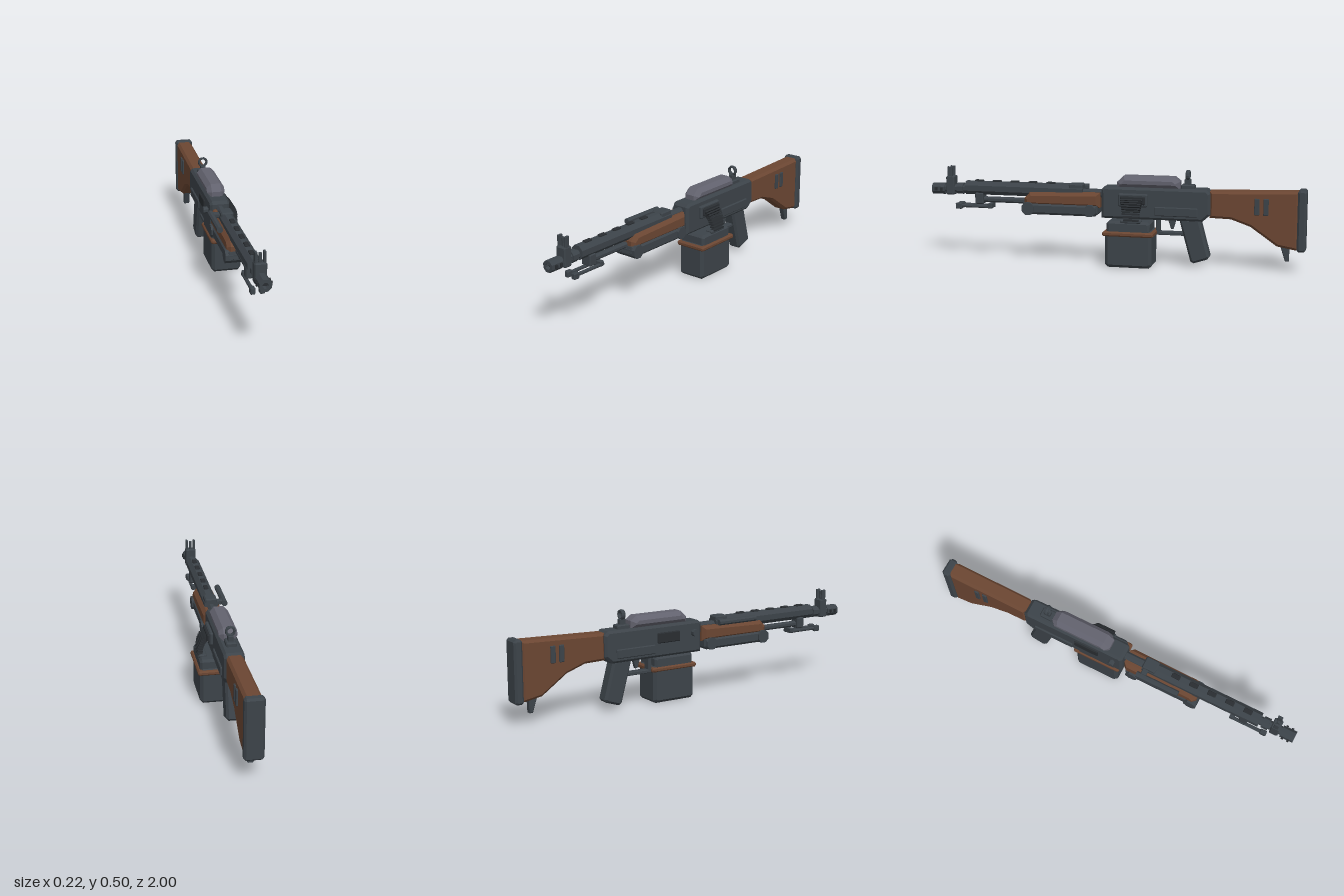
import * as THREE from 'three';

const AX = -0.026; // centre line of the barrel and receiver

export function createModel() {
  const root = new THREE.Group();
  const paint = (name, color) => {
    const m = new THREE.MeshStandardMaterial({ color });
    m.name = name;
    return m;
  };
  const metal = paint('slate metal', 0x3c4349);
  const dark = paint('dark metal', 0x292d31);
  const wood = paint('brown wood', 0x6b4632);
  const cover = paint('grey cover', 0x62626e);

  // Adds a faceted mesh
  function add(name, geo, mat) {
    const g = geo.index ? geo.toNonIndexed() : geo;
    g.computeVertexNormals();
    const mesh = new THREE.Mesh(g, mat);
    mesh.name = name;
    root.add(mesh);
    return mesh;
  }

  // Side profile of [z, y] points, extruded across x with bevelled rims
  function prism(name, pts, x0, x1, b, mat) {
    const shape = new THREE.Shape(pts.map(p => new THREE.Vector2(p[0], p[1])));
    const geo = new THREE.ExtrudeGeometry(shape, {
      depth: x1 - x0 - 2 * b, bevelEnabled: b > 0, bevelSize: b,
      bevelThickness: b, bevelOffset: -b, bevelSegments: 1,
    });
    geo.rotateY(-Math.PI / 2).translate(x1 - b, 0, 0);
    return add(name, geo, mat);
  }

  // Box with all edges chamfered by b
  function box(name, x0, x1, y0, y1, z0, z1, b, mat) {
    const pts = b > 0
      ? [[z0 + b, y0], [z1 - b, y0], [z1, y0 + b], [z1, y1 - b],
        [z1 - b, y1], [z0 + b, y1], [z0, y1 - b], [z0, y0 + b]]
      : [[z0, y0], [z1, y0], [z1, y1], [z0, y1]];
    return prism(name, pts, x0, x1, b, mat);
  }

  // Eight-sided rods along z and along x
  const rod = (r, len, r2 = r) =>
    new THREE.CylinderGeometry(r2, r, len, 8).rotateY(Math.PI / 8);
  const rodZ = (name, x, y, z0, z1, r, mat) =>
    add(name, rod(r, z1 - z0).rotateX(Math.PI / 2).translate(x, y, (z0 + z1) / 2), mat);
  const rodX = (name, x0, x1, y, z, r, mat) =>
    add(name, rod(r, x1 - x0).rotateZ(Math.PI / 2).translate((x0 + x1) / 2, y, z), mat);

  // Barrel, vented jacket and muzzle
  rodZ('barrel', AX, 0.368, 0.03, 0.95, 0.023, metal);
  rodZ('barrelJacket', AX, 0.375, 0.16, 0.81, 0.038, metal);
  rodZ('jacketCollar', AX, 0.368, 0.825, 0.86, 0.031, metal);
  for (let i = 0; i < 5; i++) {
    const z = 0.338 + i * 0.1;
    box('jacketVent', AX - 0.012, AX + 0.012, 0.4, 0.418, z - 0.023, z + 0.023, 0.003, dark);
  }
  const ring = (r, path) => {
    for (let i = 0; i < 8; i++) {
      const a = (i + 0.5) * Math.PI / 4;
      path[i ? 'lineTo' : 'moveTo'](r * Math.cos(a), r * Math.sin(a));
    }
    path.closePath();
    return path;
  };
  const muzzle = ring(0.031, new THREE.Shape());
  muzzle.holes.push(ring(0.015, new THREE.Path()));
  add('muzzle', new THREE.ExtrudeGeometry(muzzle, { depth: 0.072, bevelEnabled: false })
    .translate(AX, 0.364, 0.928), metal);
  rodZ('muzzleBore', AX, 0.364, 0.94, 0.965, 0.016, dark);
  for (const z of [0.945, 0.975]) {
    box('muzzlePort', AX - 0.037, AX + 0.037, 0.355, 0.373, z - 0.006, z + 0.006, 0, dark);
  }

  // Front sight: block, two wings and a post
  box('frontSightBase', AX - 0.029, AX + 0.029, 0.335, 0.435, 0.872, 0.918, 0.005, metal);
  for (const s of [-1, 1]) {
    const x = AX + s * 0.021;
    box('frontSightWing', x - 0.006, x + 0.006, 0.42, 0.487, 0.883, 0.909, 0.002, metal);
  }
  box('frontSightPost', AX - 0.007, AX + 0.007, 0.42, 0.48, 0.889, 0.903, 0.002, metal);

  // Gas tube and folded bipod
  rodZ('gasTube', AX, 0.313, 0.4, 0.75, 0.016, metal);
  box('gasBlock', AX - 0.03, AX + 0.03, 0.29, 0.35, 0.71, 0.755, 0.005, metal);
  box('bipodHinge', AX - 0.03, AX + 0.03, 0.268, 0.295, 0.66, 0.685, 0.003, metal);
  for (const s of [-1, 1]) {
    const x = AX + s * 0.022;
    rodZ('bipodLeg', x, 0.277, 0.66, 0.85, 0.009, metal);
    box('bipodFoot', x - 0.012, x + 0.012, 0.26, 0.292, 0.83, 0.865, 0.004, metal);
  }

  // Handguard: wooden shell over a metal trough with round end bosses
  prism('handguardWood', [[0.065, 0.295], [0.475, 0.295], [0.475, 0.335], [0.445, 0.366],
    [0.1, 0.375], [0.065, 0.375]], AX - 0.054, AX + 0.054, 0.018, wood);
  prism('handguardTrough', [[0.09, 0.25], [0.45, 0.25], [0.485, 0.275], [0.48, 0.31],
    [0.075, 0.31], [0.075, 0.265]], AX - 0.057, AX + 0.057, 0.012, metal);
  rodX('handguardFrontBoss', AX - 0.065, AX + 0.065, 0.281, 0.45, 0.036, metal);
  rodX('handguardRearBoss', AX - 0.065, AX + 0.065, 0.281, 0.115, 0.033, metal);

  // Carrying handle folded to the right side
  box('handleClamp', AX - 0.032, AX + 0.032, 0.365, 0.416, 0.16, 0.235, 0.006, metal);
  box('handleArm', -0.105, AX, 0.378, 0.402, 0.168, 0.198, 0.004, metal);
  rodZ('carryHandle', -0.097, 0.39, 0.15, 0.385, 0.0155, metal);

  // Receiver with side panels and charging handle
  prism('receiver', [[0.055, 0.245], [0.055, 0.395], [0.04, 0.41], [-0.495, 0.41],
    [-0.515, 0.39], [-0.515, 0.28], [-0.475, 0.245]].reverse(), AX - 0.051, AX + 0.051, 0.012, metal);
  for (const s of [-1, 1]) {
    const x = AX + s * 0.052;
    box('sidePanel', x - 0.007, x + 0.007, 0.268, 0.315, -0.452, -0.228, 0.004, metal);
  }
  box('ejectionPort', -0.084, -0.07, 0.318, 0.372, -0.215, -0.08, 0.004, dark);
  rodX('chargingHandleStem', -0.09, -0.06, 0.352, 0.003, 0.01, metal);
  rodX('chargingHandleKnob', -0.105, -0.082, 0.352, 0.003, 0.018, metal);

  // Top cover with sloping sides
  prism('topCover', [[-0.355, 0.405], [-0.025, 0.405], [-0.025, 0.435], [-0.06, 0.468],
    [-0.325, 0.468], [-0.355, 0.445]], AX - 0.047, AX + 0.047, 0.022, cover);

  // Rear sight
  box('rearSightBase', AX - 0.026, AX + 0.026, 0.4, 0.43, -0.43, -0.36, 0.005, metal);
  box('rearSightStem', AX - 0.013, AX + 0.013, 0.425, 0.458, -0.41, -0.375, 0.003, metal);
  add('rearSightRing', new THREE.TorusGeometry(0.021, 0.0065, 6, 14).scale(1, 1, 1.8)
    .translate(AX, 0.478, -0.393), metal);

  // Feed tray and hanging belt
  box('feedTray', 0.02, 0.042, 0.312, 0.38, -0.193, -0.038, 0.006, metal);
  box('feedOpening', 0.03, 0.053, 0.325, 0.368, -0.182, -0.05, 0.005, dark);
  const belt = new THREE.QuadraticBezierCurve3(
    new THREE.Vector3(0.05, 0.342, -0.112), new THREE.Vector3(0.084, 0.318, -0.112),
    new THREE.Vector3(0.085, 0.25, -0.118));
  for (let i = 0; i < 9; i++) {
    const t = i / 8;
    const tangent = belt.getTangent(t);
    const link = add('beltLink', new THREE.BoxGeometry(0.026, 0.0085, 0.115 - 0.035 * t), dark);
    link.position.copy(belt.getPoint(t));
    link.rotation.z = Math.atan2(tangent.y, tangent.x) + Math.PI / 2;
  }

  // Ammunition box with lid and wooden band
  box('ammoBox', -0.062, 0.095, 0, 0.2, -0.225, 0.02, 0.015, metal);
  box('ammoBoxLid', -0.06, 0.094, 0.175, 0.243, -0.215, 0.012, 0.012, metal);
  box('ammoBoxBand', -0.067, 0.107, 0.165, 0.19, -0.236, 0.031, 0.007, wood);
  box('beltChute', 0.052, 0.094, 0.235, 0.252, -0.17, -0.06, 0.004, metal);

  // Trigger and guard
  prism('trigger', [[-0.29, 0.25], [-0.335, 0.25], [-0.32, 0.195], [-0.308, 0.195]].reverse(),
    AX - 0.01, AX + 0.01, 0.002, metal);
  box('triggerGuardBar', AX - 0.02, AX + 0.02, 0.163, 0.181, -0.38, -0.225, 0.003, metal);
  box('triggerGuardFront', AX - 0.02, AX + 0.02, 0.17, 0.25, -0.25, -0.23, 0.003, metal);

  // Pistol grip
  prism('pistolGrip', [[-0.352, 0.255], [-0.46, 0.255], [-0.512, 0.06], [-0.5, 0.045],
    [-0.43, 0.022], [-0.413, 0.032]], AX - 0.037, AX + 0.037, 0.012, metal);

  // Shoulder stock, inset plates, butt pad and sling stud
  prism('stock', [[-0.51, 0.403], [-0.96, 0.416], [-0.96, 0.118], [-0.945, 0.116],
    [-0.855, 0.132], [-0.72, 0.227], [-0.62, 0.262], [-0.51, 0.265]], AX - 0.042, AX + 0.042, 0.013, wood);
  for (const s of [-1, 1]) {
    for (const z of [-0.752, -0.798]) {
      const x = AX + s * 0.044;
      box('stockPlate', x - 0.006, x + 0.006, 0.29, 0.375, z - 0.013, z + 0.013, 0.003, metal);
    }
  }
  box('buttPad', AX - 0.048, AX + 0.048, 0.108, 0.423, -1, -0.955, 0.01, metal);
  prism('slingStud', [[-0.872, 0.13], [-0.918, 0.13], [-0.915, 0.052], [-0.897, 0.052]],
    AX - 0.016, AX + 0.016, 0.004, metal);

  return root;
}
